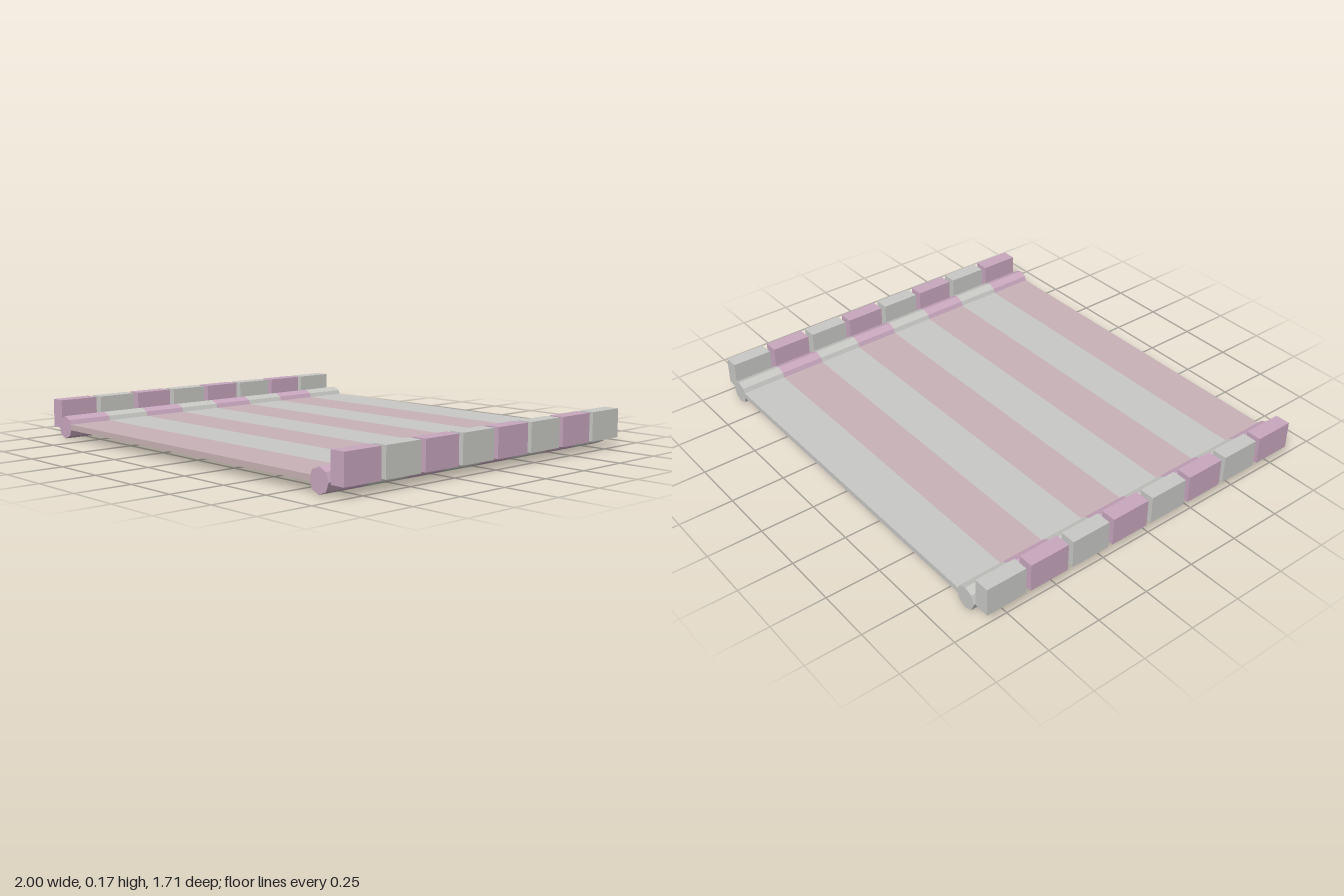
import * as THREE from 'three';

const STRIPES = 8;
const PITCH = 1.714 / STRIPES;
const POLE_X = 0.88, POLE_Y = 0.053, POLE_R = 0.053;

function material(name, color) {
  const m = new THREE.MeshStandardMaterial({ color });
  m.name = name;
  return m;
}

export function createModel() {
  const model = new THREE.Group();
  model.name = 'stripedPlatform';
  const grey = material('light grey', 0xc8c8c5);
  const pink = material('mauve pink', 0xc8a7be);
  const dustyPink = material('dusty pink', 0xc8b2b6);

  function add(parent, name, geometry, mat, x, y, z) {
    const mesh = new THREE.Mesh(geometry, mat);
    mesh.name = name;
    mesh.position.set(x, y, z);
    parent.add(mesh);
  }

  // Faceted eight-sided rail, lying along z with one edge on top
  const railGeometry = new THREE.CylinderGeometry(POLE_R, POLE_R, PITCH, 8, 1, true)
    .rotateX(Math.PI / 2).toNonIndexed();
  railGeometry.computeVertexNormals();
  const capGeometry = new THREE.CircleGeometry(POLE_R, 8);
  const deckGeometry = new THREE.BoxGeometry(1.668, 0.026, PITCH);
  const blockGeometry = new THREE.BoxGeometry(0.071, 0.131, 0.19);

  const deck = new THREE.Group();
  deck.name = 'deck';
  model.add(deck);

  // Flat deck, one plank per stripe, pink at the front
  for (let i = 0; i < STRIPES; i++) {
    const z = (i - (STRIPES - 1) / 2) * PITCH;
    add(deck, 'deckStripe', deckGeometry, i % 2 ? dustyPink : grey, 0, 0.057, z);
  }

  // Striped rail and raised edge blocks on each side
  for (const side of [-1, 1]) {
    const edge = new THREE.Group();
    edge.name = side > 0 ? 'leftEdge' : 'rightEdge';
    model.add(edge);
    for (let i = 0; i < STRIPES; i++) {
      const z = (i - (STRIPES - 1) / 2) * PITCH;
      const mat = i % 2 ? pink : grey;
      add(edge, 'railSection', railGeometry, mat, side * POLE_X, POLE_Y, z);
      add(edge, 'edgeBlock', blockGeometry, mat, side * 0.9645, 0.1085, z);
    }
    // Rail end caps
    add(edge, 'frontRailCap', capGeometry, pink, side * POLE_X, POLE_Y, 0.857);
    add(edge, 'backRailCap', capGeometry.clone().rotateY(Math.PI), grey, side * POLE_X, POLE_Y, -0.857);
  }
  return model;
}
